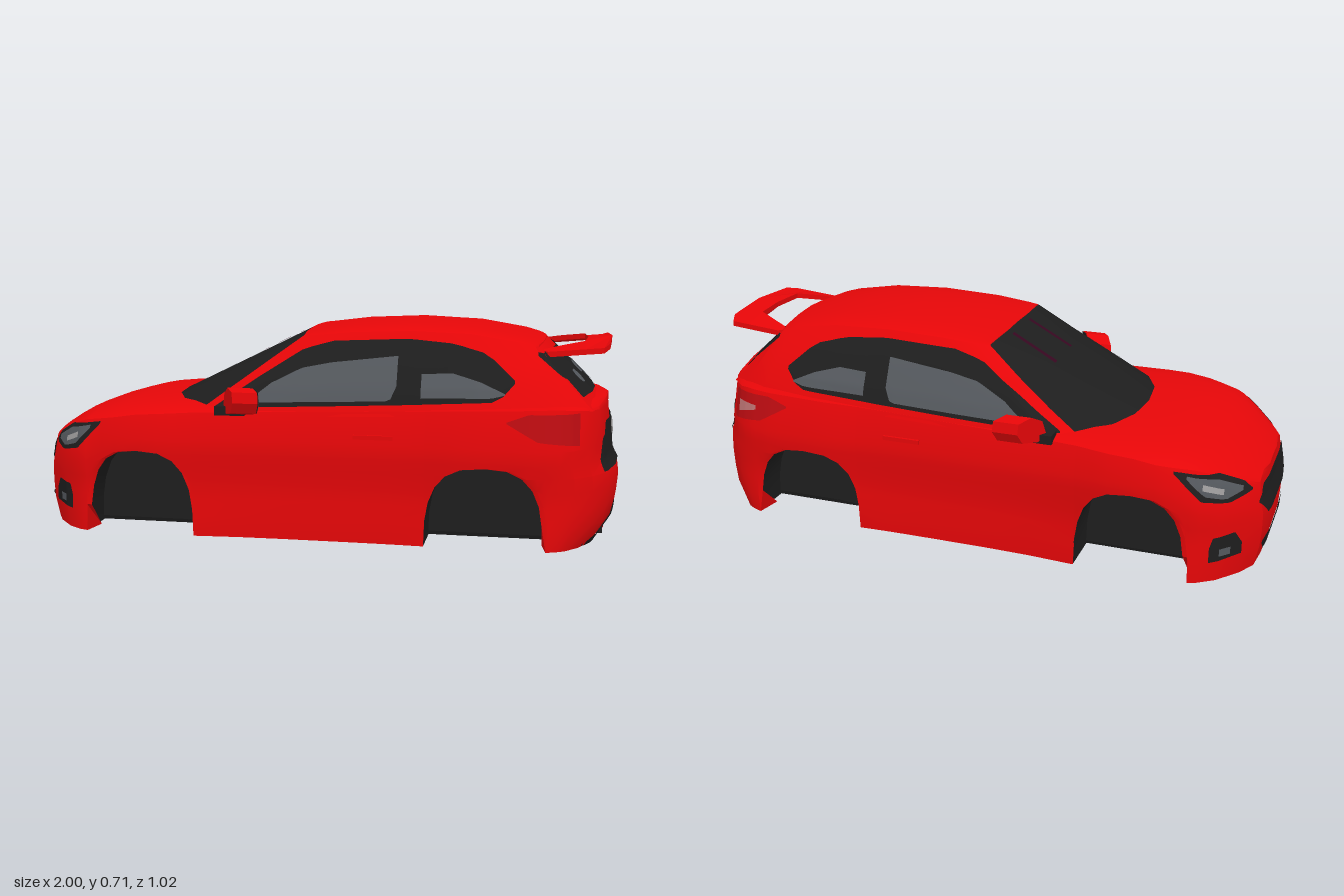
import * as THREE from 'three';
import { toCreasedNormals } from 'three/addons/utils/BufferGeometryUtils.js';

const paint = (name, color) => {
  const m = new THREE.MeshStandardMaterial({ color, side: THREE.DoubleSide });
  m.name = name;
  return m;
};

// Piecewise linear lookup in [[x, y], ...]
function at(table, x) {
  if (x <= table[0][0]) return table[0][1];
  for (let i = 1; i < table.length; i++) {
    const [x0, y0] = table[i - 1], [x1, y1] = table[i];
    if (x <= x1) return y0 + (y1 - y0) * (x - x0) / (x1 - x0 || 1);
  }
  return table[table.length - 1][1];
}

// Skin through rows of [x, y, z] points (nose to tail, bottom to top), mirrored in z
function skin(rows, sides = [1, -1]) {
  const pos = [], n = rows[0].length;
  for (const s of sides) {
    for (let r = 0; r + 1 < rows.length; r++) for (let c = 0; c + 1 < n; c++) {
      const a = rows[r][c], b = rows[r][c + 1], d = rows[r + 1][c + 1], e = rows[r + 1][c];
      const quad = s > 0 ? [a, b, d, a, d, e] : [a, d, b, a, e, d];
      for (const p of quad) pos.push(p[0], p[1], p[2] * s);
    }
  }
  const g = new THREE.BufferGeometry();
  g.setAttribute('position', new THREE.Float32BufferAttribute(pos, 3));
  return toCreasedNormals(g, 0.4);
}

const BELT = [[-1, .3], [-.9, .355], [-.8, .39], [-.6, .42], [-.4, .43], [0, .44], [.5, .46], [.8, .47], [1, .45]];
const DECK = [[-1, .31], [-.95, .345], [-.85, .405], [-.7, .445], [-.5, .46], [0, .46], [.6, .48], [.9, .49], [1, .475]];
const WIDTH = [[-.79, .43], [-.7, .447], [-.55, .455], [-.41, .435], [-.2, .42], [.2, .42], [.36, .425], [.5, .44], [.7, .44], [.77, .43]];
const FLARE = [[.01, .97], [.08, .975], [.14, .968], [.2, .97], [.25, .985], [.34, 1], [.4, .965], [.47, .92]];
const NOSE = [[.01, .02], [.1, 0], [.2, 0], [.25, .012], [.31, .02], [.36, .04]];
const TAIL = [[.01, .07], [.06, .03], [.12, .01], [.24, 0], [.27, .03], [.42, .04], [.47, .05]];
const ARCHES = [{ x: -.6, r: .19, h: .3 }, { x: .567, r: .2, h: .28 }];
const STEPS = [-1, -.985, -.93, -.82, -.65, -.4, 0, .4, .65, .82, .93, .985, 1];

function archY(x) {
  for (const a of ARCHES) {
    const t = Math.abs((x - a.x) / a.r);
    if (t < 1) return a.h * Math.pow(1 - Math.pow(t, 2.9), 1 / 2.9);
  }
  return 0;
}

// Lower body: plan outline swept up through levels, with a tapered upper nose
function bodyRows() {
  const columns = [[-1, 0], [-1, .12], [-.99, .23], [-.95, .3], [-.88, .38], [-.82, .42]];
  const xs = [...STEPS.map(t => ARCHES[0].x + t * ARCHES[0].r), -.25, -.1, .1, .25,
    ...STEPS.map(t => ARCHES[1].x + t * ARCHES[1].r)];
  for (const x of xs) columns.push([x, at(WIDTH, x)]);
  columns.push([.81, .418], [.85, .4], [.91, .345], [.96, .265], [.99, .14], [1, 0]);
  const place = ([x, z], y) => {
    const nose = Math.max(0, (-x - .8) / .2) * at(NOSE, y);
    const tail = Math.max(0, (x - .75) / .25) * at(TAIL, y);
    const taper = 1 - at([[-.95, .16], [-.68, 0]], x) * at([[.26, 0], [.38, 1]], y);
    return [x + nose - tail, y, z * at(FLARE, y) * taper];
  };
  const rows = [.01, .08, .14, .2, .25, .29, .34].map(level =>
    columns.map(c => place(c, Math.min(Math.max(level, archY(c[0])), at(BELT, c[0]) - .005))));
  rows.unshift(rows[0].map(([x, y, z]) => [x * .98, y, z * (y > .02 ? .995 : .78)]));
  const belt = columns.map(c => place(c, at(BELT, c[0])));
  rows.push(belt);
  for (const [k, lift] of [[.93, .3], [.7, .75], [.35, .95], [0, 1]]) {
    rows.push(belt.map(([x, y, z]) => [x, y + (at(DECK, x) - y) * lift, z * k]));
  }
  return rows;
}

// Cabin: belt outline and roof outline, matching columns
const CABIN_BASE = [[-.56, .45, 0], [-.545, .45, .14], [-.51, .44, .25], [-.41, .425, .34], [-.33, .42, .388], [0, .425, .398],
  [.3, .435, .398], [.55, .445, .398], [.75, .45, .38], [.84, .455, .342], [.9, .455, .297], [.935, .455, .15], [.945, .455, 0]];
const CABIN_TOP = [[-.07, .69, 0], [-.07, .688, .1], [-.065, .685, .2], [-.06, .68, .255], [-.02, .682, .268], [.1, .694, .275],
  [.3, .702, .275], [.5, .695, .272], [.66, .67, .265], [.71, .655, .258], [.72, .652, .24], [.735, .66, .12], [.74, .664, 0]];
const CROWN = [[-.08, .69], [.1, .714], [.33, .725], [.55, .71], [.74, .667]];

export function createModel() {
  const car = new THREE.Group();
  const red = paint('body red', 0xe60608), dark = paint('dark trim', 0x1e1e1e), floorMat = paint('underbody black', 0x181818);
  const glass = paint('grey glass', 0x54585d), silver = paint('plate silver', 0x9c9a9a);
  const lamp = paint('lamp red', 0xb80b10), pink = paint('lamp lens', 0xb87070), wine = paint('wiper wine', 0x360820);
  const add = (name, geo, mat, parent = car) => {
    const m = new THREE.Mesh(geo, mat);
    m.name = name;
    parent.add(m);
    return m;
  };

  // Shell
  const shell = [add('bodyShell', skin(bodyRows()), red)];
  const wall = [0, .33, .67, 1].map(t => CABIN_BASE.map((p, i) => p.map((v, k) => {
    const bulge = k === 2 ? .015 * Math.sin(Math.PI * t) * (p[2] > .2 ? 1 : 0) : 0;
    return v + (CABIN_TOP[i][k] - v) * t + bulge;
  })));
  shell.push(add('windscreen', skin(wall.map(r => r.slice(0, 4))), dark));
  shell.push(add('cabinSides', skin(wall.map(r => r.slice(3))), red));
  const roof = [[1, 0], [.92, .35], [.6, .75], [.3, .95], [0, 1]].map(([k, lift]) =>
    CABIN_TOP.map(([x, y, z]) => [x, y + (at(CROWN, x) - y) * lift, z * k]));
  shell.push(add('roof', skin(roof), red));

  // Thin patch between two outlines, laid on the shell along one axis
  const caster = new THREE.Raycaster();
  function patch(name, axis, sign, upper, lower, mat, lift = .005) {
    const nu = 28, nv = 8, pos = [], idx = [], u0 = upper[0][0], u1 = upper[upper.length - 1][0];
    let last = sign * .3;
    for (let i = 0; i <= nu; i++) for (let j = 0; j <= nv; j++) {
      const u = u0 + (u1 - u0) * i / nu, lo = at(lower, u), v = lo + (at(upper, u) - lo) * j / nv;
      const p = axis === 'z' ? new THREE.Vector3(u, v, 0) : axis === 'x' ? new THREE.Vector3(0, v, u) : new THREE.Vector3(u, 0, v);
      const dir = new THREE.Vector3();
      dir[axis] = -sign;
      p[axis] = sign * 3;
      caster.set(p, dir);
      const hit = caster.intersectObjects(shell)[0];
      if (hit && hit.point[axis] * sign > .1) last = hit.point[axis];
      p[axis] = last + sign * lift;
      pos.push(p.x, p.y, p.z);
    }
    const flip = (axis === 'z') === (sign < 0);
    for (let i = 0; i < nu; i++) for (let j = 0; j < nv; j++) {
      const a = i * (nv + 1) + j, b = a + nv + 1;
      idx.push(...(flip ? [a, b + 1, b, a, a + 1, b + 1] : [a, b, b + 1, a, b + 1, a + 1]));
    }
    const g = new THREE.BufferGeometry();
    g.setAttribute('position', new THREE.Float32BufferAttribute(pos, 3));
    g.setIndex(idx);
    g.computeVertexNormals();
    add(name, g, mat);
  }

  for (const s of [1, -1]) {
    // Side windows and rear pillar trim
    patch('sideWindowFrame', 'z', s, [[-.34, .45], [-.2, .545], [-.05, .64], [.05, .667], [.3, .678], [.45, .665], [.56, .635], [.65, .555]],
      [[-.34, .445], [-.2, .45], [.3, .472], [.6, .488], [.65, .545]], dark);
    patch('frontSideGlass', 'z', s, [[-.22, .475], [-.15, .53], [-.05, .58], [.05, .6], [.27, .625]], [[-.22, .465], [.25, .483], [.27, .53]], glass, .009);
    patch('rearSideGlass', 'z', s, [[.35, .57], [.45, .575], [.54, .55], [.62, .515]], [[.35, .495], [.58, .5], [.62, .51]], glass, .009);
    patch('rearPillarTrim', 'z', s, [[.72, .64], [.75, .63], [.89, .507]], [[.72, .63], [.79, .57], [.89, .5]], dark, .004);
    // Headlamps and side intakes
    patch('headlampSurround', 'z', s, [[-.955, .3], [-.93, .33], [-.86, .37], [-.73, .392]], [[-.955, .295], [-.9, .278], [-.82, .295], [-.73, .385]], dark);
    patch('headlampLens', 'z', s, [[-.93, .318], [-.86, .357], [-.77, .377]], [[-.93, .305], [-.89, .292], [-.83, .31], [-.77, .368]], glass, .007);
    patch('headlampBulb', 'z', s, [[-.88, .325], [-.82, .35]], [[-.88, .308], [-.82, .332]], silver, .0095);
    patch('sideIntake', 'z', s, [[-.94, .13], [-.92, .172], [-.86, .165], [-.85, .13]], [[-.94, .09], [-.85, .08]], dark);
    patch('foglamp', 'z', s, [[-.91, .125], [-.88, .125]], [[-.91, .1], [-.88, .1]], glass, .009);
    // Tail lamps
    patch('tailLamp', 'z', s, [[.63, .43], [.7, .455], [.86, .455]], [[.63, .425], [.73, .37], [.86, .355]], lamp, .004);
    if (s < 0) patch('tailLampLens', 'z', s, [[.75, .42], [.83, .425]], [[.75, .405], [.83, .385]], pink, .008);
    // Door handle and wiper
    add('doorHandle', new THREE.BoxGeometry(.13, .014, .016), red).position.set(.2, .366, s * .414);
    const w = s > 0 ? .05 : -.12;
    patch('wiper', 'y', 1, [[-.25, w - .012], [-.09, w + .002]], [[-.25, w + .008], [-.09, w + .022]], wine, .004);

    // Door mirror
    const mirror = new THREE.Group();
    mirror.name = s > 0 ? 'leftSideMirror' : 'rightSideMirror';
    mirror.scale.z = s;
    const outline = [[.4, .455], [.415, .5], [.455, .523], [.505, .515], [.51, .48], [.49, .445], [.43, .432]].map(p => new THREE.Vector2(...p));
    const slant = g => {
      const p = g.attributes.position;
      for (let i = 0; i < p.count; i++) p.setX(i, p.getX(i) + (p.getZ(i) - .4) * .55);
      g.computeVertexNormals();
      return g;
    };
    const housing = new THREE.ExtrudeGeometry(new THREE.Shape(outline), { depth: .085, bevelEnabled: false }).rotateY(-Math.PI / 2).translate(-.22, 0, 0);
    add('mirrorHousing', slant(housing), red, mirror);
    if (s > 0) {
      const face = (k, x) => slant(new THREE.ShapeGeometry(new THREE.Shape(outline.map(p =>
        new THREE.Vector2(.457 + (p.x - .457) * k, .478 + (p.y - .478) * k)))).rotateY(-Math.PI / 2).translate(x, 0, 0));
      add('mirrorRim', face(.98, -.217), dark, mirror);
      add('mirrorGlass', face(.8, -.213), glass, mirror);
    }
    add('mirrorStalk', new THREE.BoxGeometry(.1, .03, .06), dark, mirror).position.set(-.28, .44, .395);
    car.add(mirror);
  }

  // Front grille
  patch('upperGrille', 'x', -1, [[-.24, .25], [-.2, .295], [.2, .295], [.24, .25]], [[-.24, .245], [-.17, .185], [.17, .185], [.24, .245]], dark);
  patch('lowerGrille', 'x', -1, [[-.22, .1], [.22, .1]], [[-.22, .09], [-.17, .05], [.17, .05], [.22, .09]], dark);

  // Tail
  patch('rearWindow', 'x', 1, [[-.285, .505], [-.255, .638], [.255, .638], [.285, .505]], [[-.285, .498], [.285, .498]], dark);
  for (const [z, w, y0, y1] of [[.13, .03, .53, .57], [0, .035, .548, .585], [-.17, .075, .505, .575]]) {
    patch('rearWindowGlass', 'x', 1, [[z - w, y1 - .015], [z - w * .6, y1], [z + w * .6, y1], [z + w, y1 - .015]],
      [[z - w, y0 + .015], [z - w * .6, y0], [z + w * .6, y0], [z + w, y0 + .015]], glass, .009);
  }
  patch('tailPanel', 'x', 1, [[-.28, .3], [-.265, .36], [-.22, .37], [-.195, .41], [.195, .41], [.22, .37], [.265, .36], [.28, .3]], [[-.28, .255], [.28, .255]], dark);
  patch('rearPlate', 'x', 1, [[-.105, .38], [-.095, .392], [.095, .392], [.105, .38]], [[-.105, .355], [-.095, .345], [.095, .345], [.105, .355]], silver, .009);
  patch('diffuser', 'x', 1, [[-.31, .025], [-.22, .06], [-.15, .1], [.15, .1], [.22, .06], [.31, .025]], [[-.31, .012], [.31, .012]], dark);
  for (const z of [-.14, .14]) patch('diffuserInsert', 'x', 1, [[z - .03, .035], [z + .03, .035]], [[z - .03, .016], [z + .03, .016]], lamp, .009);
  for (const i of [-3, -2, 2, 3]) add('diffuserFin', new THREE.BoxGeometry(.04, .022, .012), dark).position.set(.925, .024, i * .045);

  // Rear wing: U-shaped plan, rising towards the tail
  const half = [[.96, 0], [.95, .19], [.93, .235], [.87, .235], [.75, .235], [.72, .21], [.79, .175], [.87, .13], [.88, 0]];
  const plan = [...half, ...half.slice(1, -1).reverse().map(([x, z]) => [x, -z])].map(([x, z]) => new THREE.Vector2(x, z));
  const wing = new THREE.ExtrudeGeometry(new THREE.Shape(plan), { depth: .018, bevelEnabled: false }).rotateX(Math.PI / 2);
  const wp = wing.attributes.position;
  for (let i = 0; i < wp.count; i++) {
    const x = wp.getX(i), z = Math.abs(wp.getZ(i));
    wp.setY(i, wp.getY(i) + .652 + (x - .72) * .09 - Math.max(0, z - .15) * .2);
  }
  wing.computeVertexNormals();
  add('rearWing', wing, red);

  // Wheel wells and underbody
  for (const a of ARCHES) for (const s of [1, -1]) {
    const rim = [.2, 1].map(t => STEPS.map(k => {
      const x = a.x + k * a.r, y = Math.max(.012, archY(x)), edge = at(WIDTH, x) * at(FLARE, y) - .004;
      return [x, y - .002, t < 1 ? .26 : edge];
    }));
    add('wheelWell', skin(rim, [s]), dark);
  }
  add('wellInnerWalls', new THREE.BoxGeometry(1.62, .285, .53), dark).position.set(-.01, .165, 0);
  for (const [x0, x1, w] of [[-.79, -.41, .53], [-.41, .367, .66], [.367, .767, .53], [.767, .88, .64]]) {
    add('floor', new THREE.BoxGeometry(x1 - x0, .012, w), floorMat).position.set((x0 + x1) / 2, .02, 0);
  }
  for (const [x0, w] of [[-.94, .48], [-.86, .66]]) {
    add('frontUndertray', new THREE.BoxGeometry(-.79 - x0, .012, w), red).position.set((x0 - .79) / 2, .018, 0);
  }
  return car;
}
